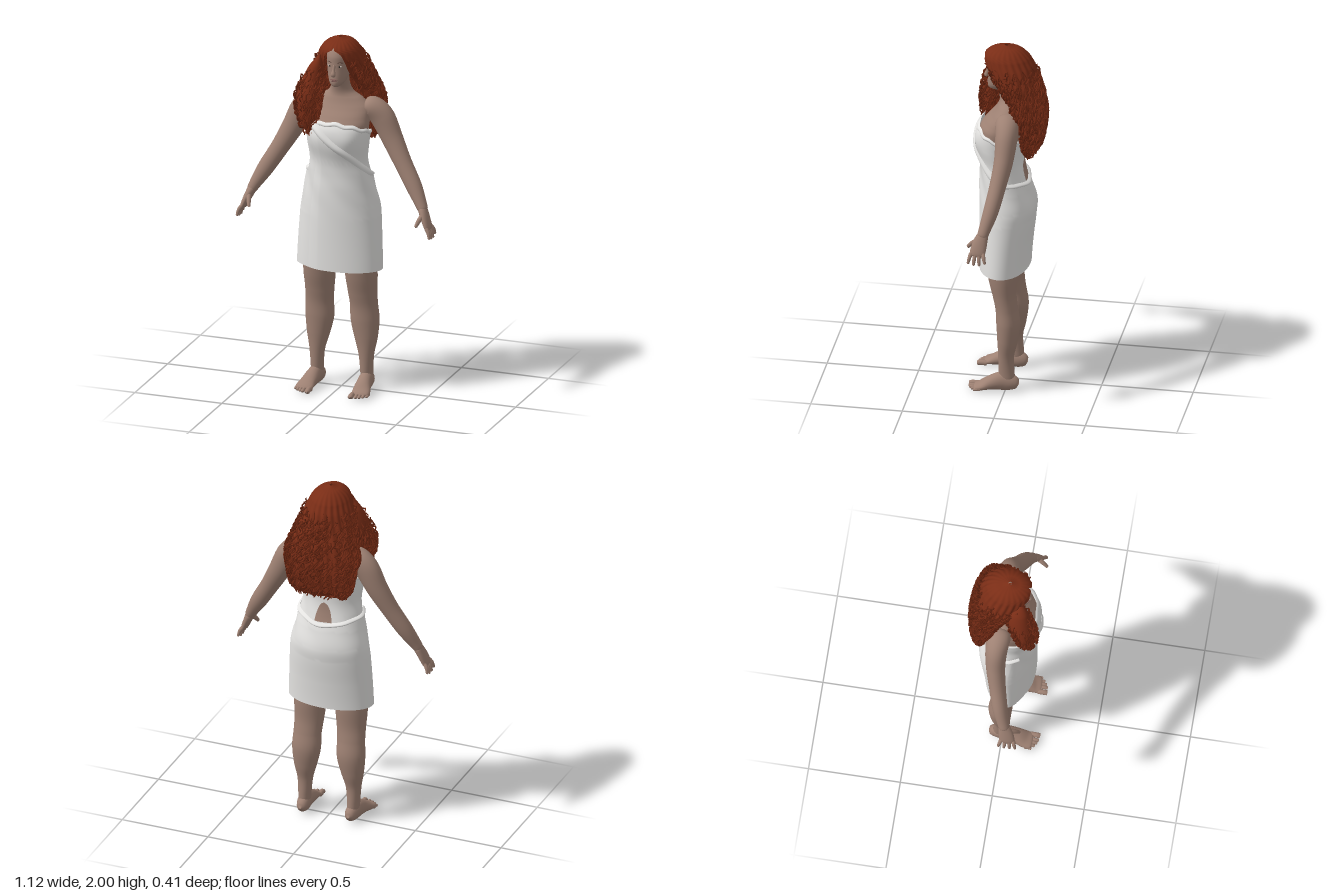
import * as THREE from 'three';
import { mergeGeometries } from 'three/addons/utils/BufferGeometryUtils.js';
import { ParametricGeometry } from 'three/addons/geometries/ParametricGeometry.js';

const paint = (name, color, side = THREE.FrontSide) => {
  const m = new THREE.MeshStandardMaterial({ color, side });
  m.name = name;
  return m;
};
const skin = paint('skin', 0x9e8173);
const cloth = paint('white cloth', 0xe4e3e1, THREE.DoubleSide);
const hair = paint('auburn hair', 0x7a2d16, THREE.DoubleSide);
const curlRed = paint('dark auburn curls', 0x682510);
const lipTone = paint('lips', 0x86605a);
const browTone = paint('brows', 0x644a40);
const eyeWhite = paint('eye white', 0xb5aaa2);
const iris = paint('iris', 0x3c332e);

// Smooth lookup of a table whose rows are sorted by their first column
function at(T, y) {
  let i = 0;
  while (i < T.length - 2 && y > T[i + 1][0]) i++;
  const t = THREE.MathUtils.clamp((y - T[i][0]) / (T[i + 1][0] - T[i][0]), 0, 1);
  const p = T[Math.max(i - 1, 0)], q = T[i], r = T[i + 1], s = T[Math.min(i + 2, T.length - 1)];
  return q.map((b, k) => {
    const m0 = (r[k] - p[k]) / 2, m1 = (s[k] - b) / 2, t2 = t * t, t3 = t2 * t;
    return (2 * t3 - 3 * t2 + 1) * b + (t3 - 2 * t2 + t) * m0 + (3 * t2 - 2 * t3) * r[k] + (t3 - t2) * m1;
  });
}

// Point on a body of horizontal ellipses, rows: y, half width, front z, back z, centre x.
// The angle runs from +z towards +x.
function shell(T, a, y, off, out) {
  const [, rx, zf, zb, xc] = at(T, y);
  return out.set(xc + (rx + off) * Math.sin(a), y, (zf + zb) / 2 + ((zf - zb) / 2 + off) * Math.cos(a));
}
const grid = (fn, nu, nv) => new ParametricGeometry(fn, nu, nv);
const solid = (T, nu, nv) => grid((u, v, o) =>
  shell(T, u * Math.PI * 2, THREE.MathUtils.lerp(T[0][0], T[T.length - 1][0], v), 0, o), nu, nv);

// Rounded limb through rows: x, y, z, radius across, radius deep; s mirrors it
function limb(rows, s = 1, ref = [0, 0, 1], nu = 20, nv = 36) {
  const path = new THREE.CatmullRomCurve3(rows.map(r => new THREE.Vector3(s * r[0], r[1], r[2])), false, 'catmullrom');
  const size = new THREE.CatmullRomCurve3(rows.map(r => new THREE.Vector3(r[3], r[4], 0)), false, 'catmullrom');
  const up = new THREE.Vector3(...ref);
  return grid((u, v, o) => {
    const t = path.getTangent(v), r = size.getPoint(v), a = u * Math.PI * 2;
    const k = Math.sqrt(Math.max(0.001, 1 - Math.pow(2 * v - 1, 20)));
    const e = up.clone().cross(t).normalize(), f = t.clone().cross(e);
    o.copy(path.getPoint(v)).addScaledVector(e, k * r.x * Math.cos(a)).addScaledVector(f, k * r.y * Math.sin(a));
  }, nu, nv);
}

const TORSO = [[1.2, .15, .13, -.07, 0], [1.32, .145, .13, -.06, 0], [1.45, .16, .168, -.07, 0], [1.52, .17, .16, -.078, 0],
  [1.56, .17, .13, -.08, 0], [1.61, .165, .088, -.078, 0], [1.65, .125, .065, -.07, 0], [1.68, .075, .055, -.05, 0],
  [1.72, .052, .062, -.04, 0], [1.78, .048, .085, -.03, 0]];
const HEAD = [[1.732, .015, .1, .05, 0], [1.742, .03, .117, .02, 0], [1.76, .044, .122, -.01, 0], [1.79, .055, .12, -.04, 0],
  [1.83, .063, .117, -.06, 0], [1.87, .068, .116, -.075, 0], [1.91, .068, .113, -.075, 0], [1.95, .055, .09, -.06, 0], [1.975, .01, .03, .01, 0]];
const TOWEL = [[.7, .233, .153, -.103, 0], [.85, .227, .153, -.115, 0], [1, .218, .154, -.132, 0], [1.07, .208, .154, -.135, 0],
  [1.17, .186, .154, -.11, 0], [1.25, .172, .152, -.085, 0], [1.32, .162, .158, -.075, 0], [1.42, .173, .182, -.08, 0],
  [1.5, .18, .18, -.088, 0], [1.58, .178, .145, -.09, 0]];
// The last column is the half angle left open for the face
const HAIR = [[1.4, .13, -.1, -.14, 0, .6], [1.44, .165, -.08, -.165, 0, .6], [1.52, .185, -.07, -.18, 0, .6], [1.58, .195, -.06, -.185, 0, .6],
  [1.64, .205, -.02, -.18, 0, .6], [1.7, .188, 0, -.172, 0, .55], [1.76, .168, .045, -.158, 0, .52], [1.82, .148, .095, -.147, 0, .5],
  [1.88, .128, .13, -.135, 0, .5], [1.93, .108, .14, -.11, 0, .4], [1.955, .09, .13, -.088, 0, .02], [1.98, .06, .095, -.055, 0, 0], [1.997, .008, .03, .01, 0, 0]];
const LOCK = [[1.46, .012, .145, .125, -.135], [1.52, .04, .17, .1, -.14], [1.6, .058, .18, .08, -.145], [1.68, .066, .175, .06, -.145],
  [1.76, .058, .155, .03, -.13], [1.84, .042, .135, .03, -.108], [1.91, .01, .11, .08, -.085]];
// Upper edge of the overlapping cloth: angle, height
const EDGE = [[-.65, 1.535], [0, 1.44], [.6, 1.36], [1.2, 1.285], [1.7, 1.24], [2.5, 1.215], [3.14, 1.2], [4, 1.225], [5.2, 1.25]];

function towelPoint(a, y, off, o) {
  const bust = Math.exp(-(((y - 1.45) / .06) ** 2)) * (Math.exp(-(((a - .55) / .35) ** 2)) + Math.exp(-(((a + .55) / .35) ** 2)));
  const crease = .003 * Math.sin(a * 7 + y * 26) * Math.exp(-(((y - 1.2) / .13) ** 2));
  return shell(TOWEL, a, y, off + .008 * bust + crease, o);
}

// One springy curl running down a shell
function curl(T, a, y0, len, r, rand) {
  const pts = [], ph = rand() * 6.3, turn = 1 + rand() * .6, drift = (rand() - .5) * .25;
  for (let k = 0; k <= 14; k++) {
    const y = Math.max(y0 - len * k / 14, T[0][0] - .01), w = k * turn + ph;
    pts.push(shell(T, a + drift * k / 14 + .07 * Math.cos(w), y, .005 + .012 * Math.sin(w), new THREE.Vector3()));
    pts[k].y = y0 - len * k / 14 + .006 * Math.sin(w * 1.7);
  }
  return new THREE.TubeGeometry(new THREE.CatmullRomCurve3(pts), 28, r, 3);
}

export function createModel() {
  const model = new THREE.Group();
  const add = (name, geometry, material) => {
    const m = new THREE.Mesh(geometry, material);
    m.name = name;
    model.add(m);
    return m;
  };
  let seed = 7;
  const rand = () => (seed = (seed * 16807) % 2147483647) / 2147483647;
  const blob = (name, mat, p, s) => {
    const m = add(name, new THREE.SphereGeometry(1, 16, 12), mat);
    m.position.set(...p);
    m.scale.set(...s);
  };

  // Body and head
  add('torso', solid(TORSO, 40, 40), skin);
  add('head', solid(HEAD, 36, 36), skin);
  add('nose', limb([[0, 1.865, .112, .007, .008], [0, 1.835, .122, .008, .01], [0, 1.812, .13, .014, .012], [0, 1.803, .122, .012, .008]], 1, [0, 0, 1], 12, 16), skin);
  blob('upperLip', lipTone, [0, 1.78, .118], [.02, .005, .007]);
  blob('lowerLip', lipTone, [0, 1.772, .118], [.017, .005, .007]);

  for (const s of [1, -1]) {
    const side = s > 0 ? 'left' : 'right';
    blob(side + 'Eye', eyeWhite, [s * .028, 1.853, .104], [.013, .005, .006]);
    blob(side + 'Iris', iris, [s * .028, 1.853, .108], [.005, .005, .004]);
    add(side + 'Brow', limb([[.013, 1.872, .112, .002, .002], [.03, 1.877, .106, .003, .003], [.046, 1.871, .094, .002, .002]], s, [0, 1, 0], 8, 10), browTone);

    // Arm, palm, fingers and thumb
    add(side + 'Arm', limb([[.13, 1.61, -.01, .04, .055], [.175, 1.605, -.015, .058, .064], [.228, 1.55, -.02, .068, .06], [.285, 1.44, -.015, .06, .052],
      [.352, 1.32, .005, .05, .045], [.425, 1.2, .03, .045, .041], [.477, 1.11, .056, .032, .032], [.497, 1.07, .068, .027, .03]], s, [0, 0, 1], 24, 48), skin);
    add(side + 'Palm', limb([[.485, 1.095, .06, .026, .03], [.508, 1.045, .075, .022, .04], [.527, 1.0, .084, .018, .042], [.536, .98, .086, .012, .038]], s), skin);
    for (let i = 0; i < 4; i++) {
      const z = .055 + i * .021, tip = .04 + i * .031, drop = [.012, 0, 0, .008][i];
      add(side + 'Finger' + (i + 1), limb([[.528, 1.0, z, .011, .011], [.545, .965 + drop, (z + tip) / 2, .01, .01], [.553, .932 + drop, tip, .007, .007]], s, [0, 0, 1], 10, 14), skin);
    }
    add(side + 'Thumb', limb([[.5, 1.06, .09, .015, .015], [.488, 1.035, .122, .012, .013], [.478, 1.005, .148, .008, .009]], s, [0, 1, 0], 10, 14), skin);

    // Leg, foot and toes
    add(side + 'Leg', limb([[.105, .95, .02, .1, .1], [.115, .78, .025, .092, .088], [.12, .66, .018, .09, .078], [.123, .56, .008, .082, .064], [.127, .48, -.004, .078, .06],
      [.13, .39, -.013, .08, .064], [.137, .29, -.01, .064, .055], [.141, .2, -.003, .043, .043], [.142, .11, -.006, .035, .043], [.142, .04, -.012, .036, .046]], s, [0, 0, 1], 28, 56), skin);
    add(side + 'Foot', limb([[.14, .034, -.072, .024, .026], [.141, .046, -.03, .036, .046], [.146, .052, .02, .039, .052], [.152, .04, .08, .044, .038],
      [.16, .024, .13, .05, .023], [.162, .017, .17, .047, .014]], s, [0, 1, 0], 20, 32), skin);
    for (let i = 0; i < 5; i++) {
      const r = i ? .0105 - i * .0006 : .015, x = i ? .134 + i * .0175 : .124, end = .203 - i * i * .0022;
      add(side + 'Toe' + (i + 1), limb([[x, .016, .145 - i * .005, r, r], [x, .016, end - .02, r, r], [x, .012, end, r, r * .8]], s, [0, 1, 0], 10, 12), skin);
    }
  }

  // Wrapped towel: inner tube, overlapping layer, rolled edges
  const rim = a => 1.5 + .04 * Math.cos(a) + .004 * Math.sin(a * 11) + .008 * Math.cos(2 * a);
  add('towel', grid((u, v, o) => {
    const a = (u * 2 - 1) * Math.PI;
    towelPoint(a, THREE.MathUtils.lerp(.7, rim(a), v), 0, o);
  }, 80, 60), cloth);
  add('towelOverlap', grid((u, v, o) => {
    const a = THREE.MathUtils.lerp(-.65, 5.2, u);
    const off = .002 + .007 * Math.min(1, (a + .65) / .3, (5.2 - a) / .3);
    towelPoint(a, THREE.MathUtils.lerp(.7, at(EDGE, a)[1], v), off, o);
  }, 90, 40), cloth);
  add('towelFold', grid((u, v, o) => {
    const a = THREE.MathUtils.lerp(-.65, 5.2, u), w = a < 1.4 ? .06 : .06 - .035 * Math.min(1, (a - 1.4) / .6);
    towelPoint(a, at(EDGE, a)[1] + (v - .6) * w, .002 + .014 * Math.sin(Math.PI * v), o);
  }, 100, 8), cloth);
  add('towelRim', grid((u, v, o) => {
    const a = (u * 2 - 1) * Math.PI;
    towelPoint(a, rim(a) + (v - .9) * .022, .007 * Math.sin(Math.PI * v), o);
  }, 90, 6), cloth);

  // Bare patch showing at the lower back
  add('backOpening', grid((u, v, o) => {
    const half = .5 * Math.sqrt(Math.max(.002, 1 - v ** 3)) * (.8 + .2 * (1 - v));
    towelPoint(Math.PI + (u * 2 - 1) * half * .55, 1.215 + v * .11, .003, o);
  }, 16, 14), skin);

  // Hair masses
  add('hairMass', grid((u, v, o) => {
    const y = THREE.MathUtils.lerp(1.4, 1.997, v), open = Math.max(0, at(HAIR, y)[5]);
    const a = THREE.MathUtils.lerp(open, Math.PI * 2 - open, u);
    shell(HAIR, a, y, .003 * Math.sin(a * 22 + y * 9) * Math.min(1, (2 - y) * 12), o);
  }, 110, 50), hair);
  add('frontLock', solid(LOCK, 32, 32), hair);

  // Loose curls over both masses
  const light = [], dark = [];
  for (let i = 0; i < 330; i++) {
    const y0 = 1.5 + .4 * Math.pow(rand(), .8), open = at(HAIR, y0)[5] + .05;
    const a = THREE.MathUtils.lerp(open, Math.PI * 2 - open, rand());
    const len = Math.min(.12 + .2 * rand(), y0 - 1.395);
    (i % 3 ? dark : light).push(curl(HAIR, a, y0, len, .0045, rand));
  }
  for (let i = 0; i < 110; i++) {
    const y0 = 1.58 + .28 * rand();
    (i % 3 ? dark : light).push(curl(LOCK, rand() * 6.28, y0, Math.min(.1 + .15 * rand(), y0 - 1.46), .0042, rand));
  }
  add('lightCurls', mergeGeometries(light), hair);
  add('darkCurls', mergeGeometries(dark), curlRed);
  return model;
}
